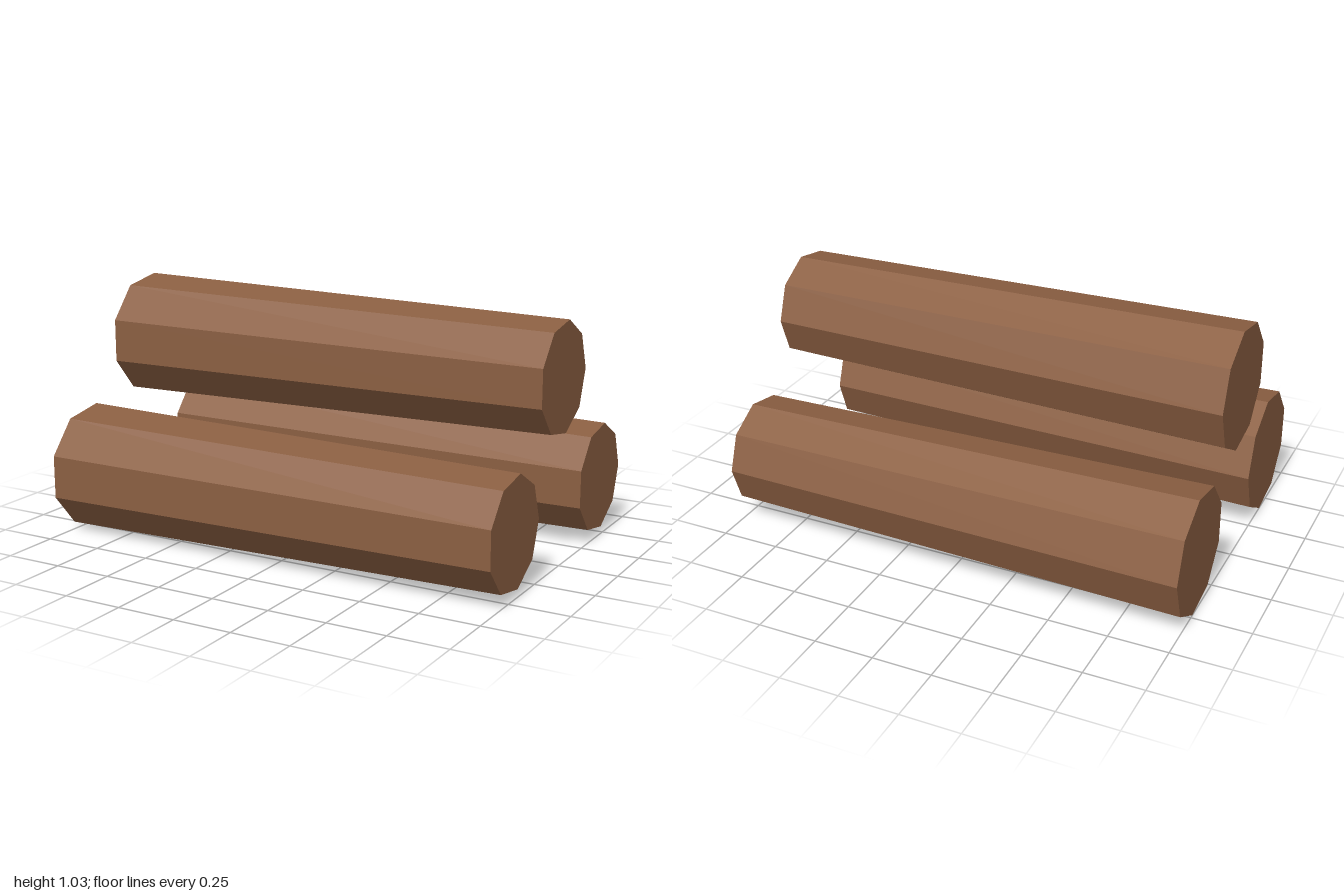
import * as THREE from 'three';

export function createModel() {
  const model = new THREE.Group();
  model.name = 'logPile';

  const wood = new THREE.MeshStandardMaterial({ color: 0x8b5f42 });
  wood.name = 'brown wood';
  wood.flatShading = true;

  // Nine-sided log lying along x, thicker at the -x end, one ridge pointing to -z
  const logGeometry = new THREE.CylinderGeometry(0.232, 0.265, 2, 9, 1, false, Math.PI);
  logGeometry.rotateZ(-Math.PI / 2);

  // Two logs on the ground and one stacked above the gap
  const logs = [
    ['frontLog', 0.265, 0.455],
    ['backLog', 0.265, -0.435],
    ['topLog', 0.777, 0.01],
  ];
  for (const [name, y, z] of logs) {
    const log = new THREE.Mesh(logGeometry, wood);
    log.name = name;
    log.position.set(0, y, z);
    model.add(log);
  }
  return model;
}
